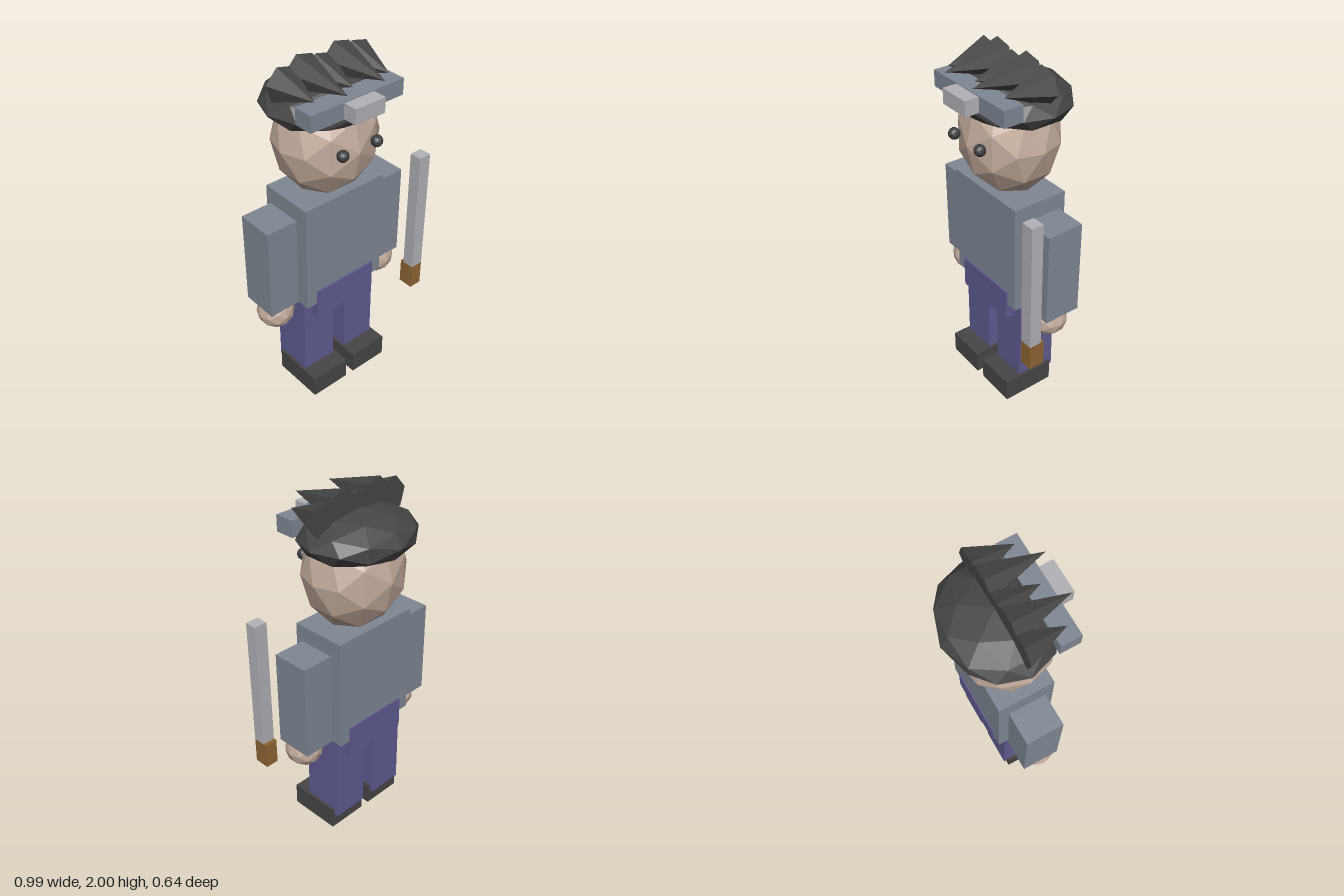
import * as THREE from 'three';

const CX = -0.022; // body midline

function mat(name, color) {
  const m = new THREE.MeshStandardMaterial({ color, flatShading: true });
  m.name = name;
  return m;
}

export function createModel() {
  const root = new THREE.Group();
  root.name = 'swordFighter';

  const skin = mat('skin', 0xc4ac9d);
  const cloth = mat('greyCloth', 0x7f8894);
  const trousers = mat('purpleCloth', 0x5f5c92);
  const dark = mat('darkHair', 0x464646);
  const steel = mat('steel', 0xb2b2b7);
  const wood = mat('wood', 0x8f6535);
  const eyeDark = mat('eyeDark', 0x3c3e40);

  function add(name, geometry, material, x, y, z) {
    const mesh = new THREE.Mesh(geometry, material);
    mesh.name = name;
    mesh.position.set(x, y, z);
    root.add(mesh);
    return mesh;
  }

  // Box given by its limits on each axis
  function box(name, material, [x0, x1], [y0, y1], [z0, z1]) {
    return add(name, new THREE.BoxGeometry(x1 - x0, y1 - y0, z1 - z0), material,
      (x0 + x1) / 2, (y0 + y1) / 2, (z0 + z1) / 2);
  }

  // Faceted ellipsoid
  function ball(name, material, x, y, z, rx, ry = rx, rz = rx) {
    const g = new THREE.IcosahedronGeometry(1, 1).scale(rx, ry, rz);
    g.computeVertexNormals();
    return add(name, g, material, x, y, z);
  }

  // Torso and waist
  box('torso', cloth, [-0.285, 0.24], [0.63, 1.265], [-0.165, 0.155]);
  box('waistband', trousers, [-0.22, 0.175], [0.535, 0.717], [-0.172, 0.165]);

  // Limbs, mirrored about the midline
  for (const [side, s] of [['left', 1], ['right', -1]]) {
    const span = (a, b) => [CX + s * a, CX + s * b].sort((p, q) => p - q);
    box(side + 'Arm', cloth, span(0.277, 0.459), [0.648, 1.187], [-0.115, 0.097]);
    ball(side + 'Hand', skin, CX + s * 0.369, 0.598, 0.01, 0.104);
    box(side + 'Leg', trousers, span(0.042, 0.25), [0.09, 0.63], [-0.122, 0.11]);
    box(side + 'Shoe', dark, span(0.028, 0.265), [0, 0.13], [-0.097, 0.21]);
    ball(side + 'Eye', eyeDark, CX + s * 0.11, 1.573, 0.253, 0.032);
  }

  // Head and cap of hair
  ball('head', skin, CX, 1.545, -0.005, 0.288, 0.318, 0.26);
  ball('hairCap', dark, CX, 1.747, -0.032, 0.328, 0.13, 0.287);

  // Five forward-pointing hair spikes, alternating short and long
  for (let i = 0; i < 5; i++) {
    const long = i % 2 === 1;
    const length = long ? 0.328 : 0.236;
    const g = new THREE.ConeGeometry(0.099, length, 6)
      .translate(0, length / 2, 0)
      .rotateX(Math.PI / 2)
      .rotateZ(0.3);
    add('hairSpike', g, dark, CX + (i - 2) * 0.115, long ? 1.905 : 1.875, -0.041);
  }

  // Headband with metal plate
  box('headband', cloth, [-0.314, 0.266], [1.757, 1.846], [0.128, 0.239]);
  box('headbandPlate', steel, [-0.115, 0.07], [1.76, 1.842], [0.2, 0.318]);

  // Sword beside the left hand
  box('swordBlade', steel, [0.417, 0.492], [0.598, 1.332], [0.178, 0.247]);
  box('swordHandle', wood, [0.417, 0.492], [0.45, 0.598], [0.158, 0.247]);

  return root;
}
